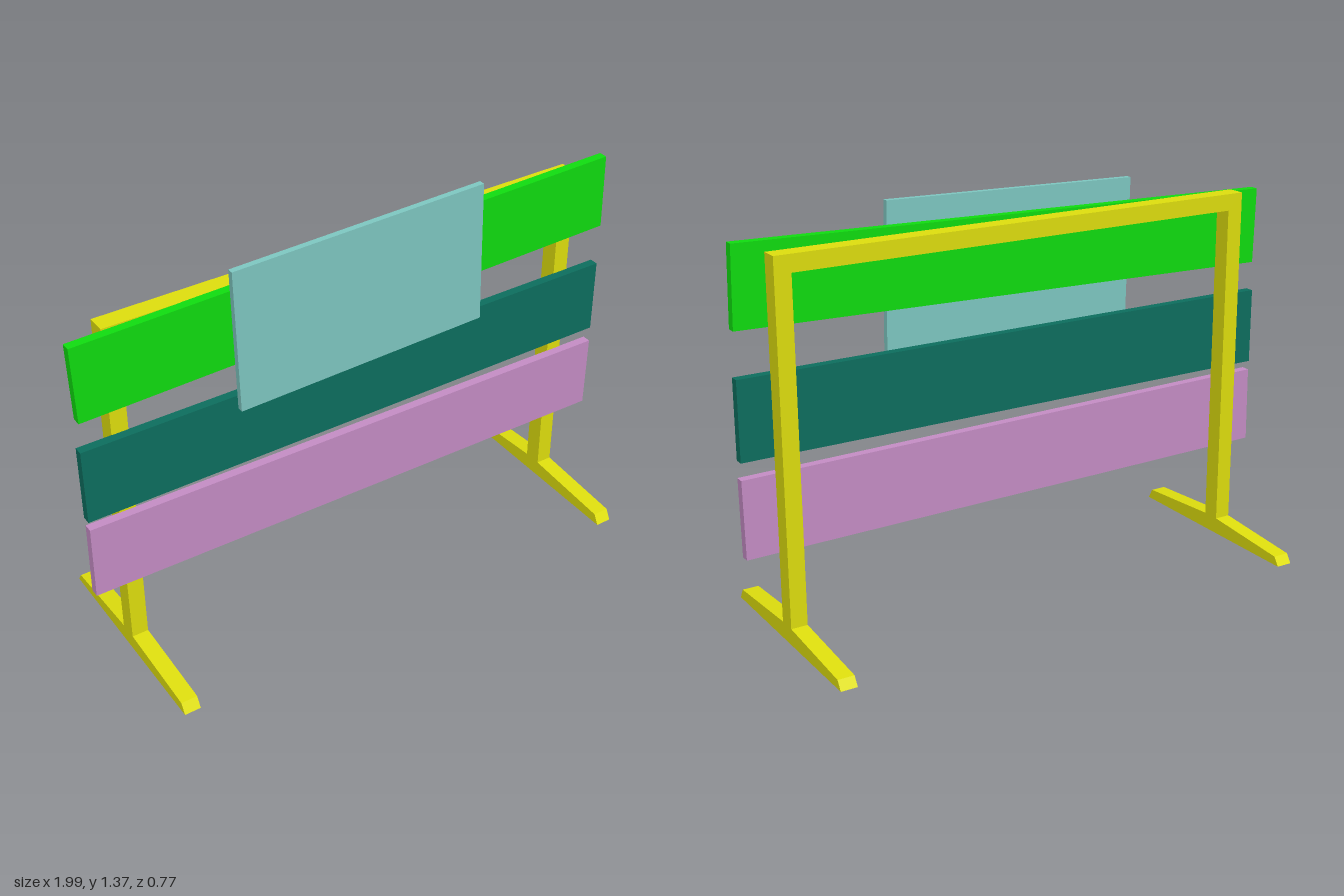
import * as THREE from 'three';

const paint = (color) => new THREE.MeshStandardMaterial({ color, flatShading: true });

// Closed outline, extruded and centred on its depth
function slab(points, depth) {
  const shape = new THREE.Shape(points.map(([x, y]) => new THREE.Vector2(x, y)));
  const geo = new THREE.ExtrudeGeometry(shape, { depth, bevelEnabled: false });
  return geo.translate(0, 0, -depth / 2);
}

export function createModel() {
  const model = new THREE.Group();
  model.name = 'barrier';
  const add = (name, geo, material) => {
    const mesh = new THREE.Mesh(geo, material);
    mesh.name = name;
    model.add(mesh);
    return mesh;
  };

  const yellow = paint(0xe2e20e);

  // Upright frame: two posts joined by a top rail
  const out = 0.88, inn = 0.823, top = 1.27, under = 1.212, base = 0.05;
  add('frame', slab([
    [-out, base], [-inn, base], [-inn, under], [inn, under],
    [inn, base], [out, base], [out, top], [-out, top],
  ], 0.064), yellow);

  // Tapered feet, running front to back
  const foot = slab([
    [-0.385, 0], [0.385, 0], [0.365, 0.036], [0.032, 0.058],
    [-0.032, 0.058], [-0.365, 0.031],
  ], out - inn).rotateY(-Math.PI / 2);
  for (const side of [-1, 1]) {
    add(side > 0 ? 'leftFoot' : 'rightFoot', foot, yellow)
      .position.x = side * (out + inn) / 2;
  }

  // Boards on the front: name, width, height, thickness, centre y, centre z, tilt, colour
  const boards = [
    ['topBoard', 1.985, 0.267, 0.031, 1.151, 0.0465, 0.0236, 0x10e010],
    ['middleBoard', 1.99, 0.268, 0.031, 0.755, 0.0465, 0, 0x0d7060],
    ['bottomBoard', 1.99, 0.267, 0.031, 0.443, 0.0465, -0.0126, 0xc88fc8],
    ['signPanel', 0.925, 0.51, 0.021, 1.106, 0.0735, 0.0236, 0x80cac4],
  ];
  for (const [name, w, h, d, y, z, tilt, color] of boards) {
    const board = add(name, new THREE.BoxGeometry(w, h, d), paint(color));
    board.position.set(-0.003, y, z);
    board.rotation.z = tilt;
  }

  return model;
}
